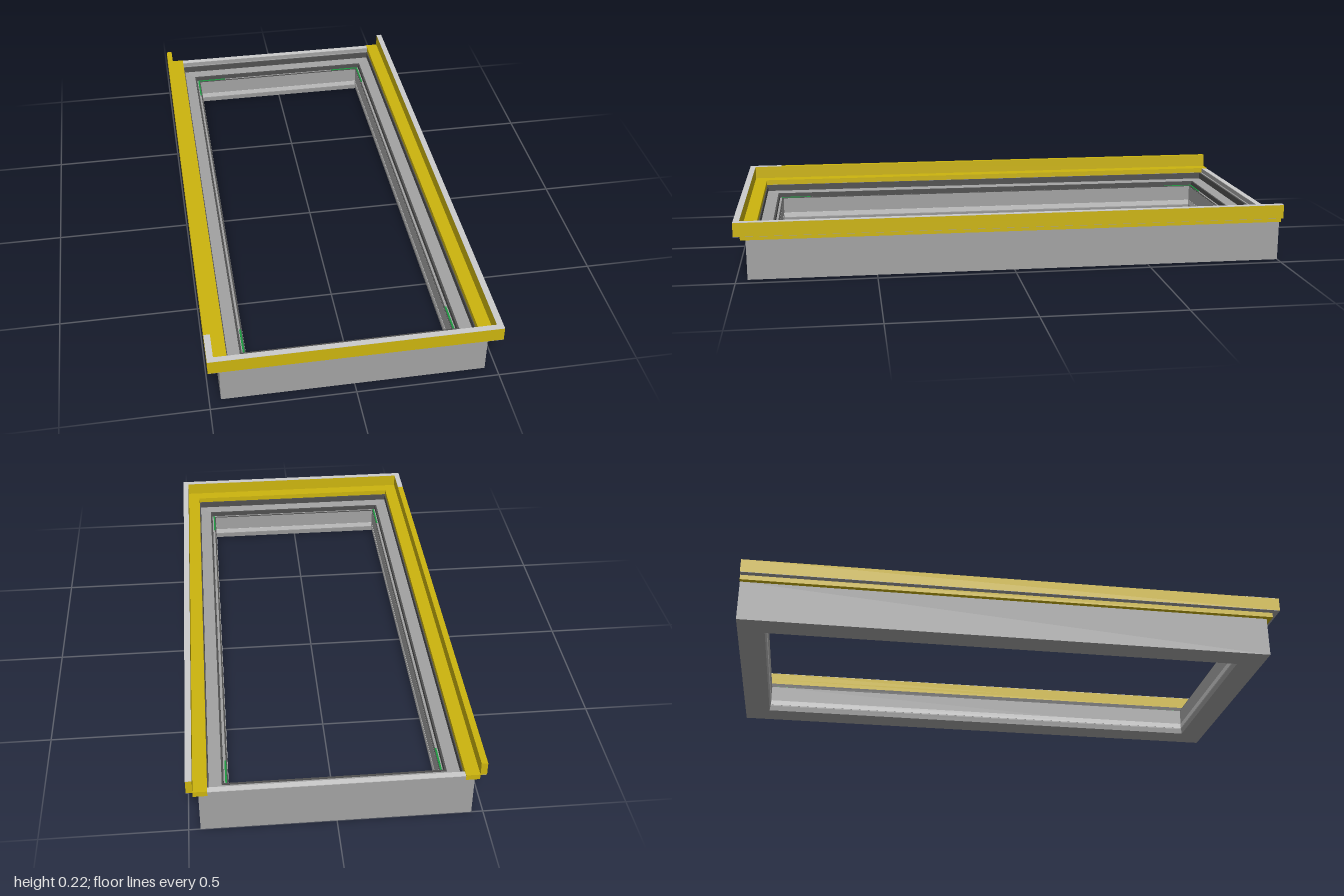
import * as THREE from 'three';

const HALF_W = 0.46, HALF_D = 0.98, MID_Z = -0.02;

const mat = (hex) => new THREE.MeshStandardMaterial({ color: hex });
const lightGrey = mat(0xcccccc), grey = mat(0xa2a2a2), dark = mat(0x505050);
const yellow = mat(0xccb40e), green = mat(0x1c9a40);

// Path corners: sx, sz are the signs of the corner; a fixed z makes a square-cut end.
const BL = { sx: -1, sz: -1 }, FL = { sx: -1, sz: 1 }, FR = { sx: 1, sz: 1 }, BR = { sx: 1, sz: -1 };
const cut = (sx, z) => ({ sx, z });

// Sweep a counterclockwise profile of [inward offset, y] along mitred corners.
function sweep(name, material, profile, path, closed) {
  const pos = [];
  const point = (c, [d, y]) => [c.sx * (HALF_W - d), y, c.z ?? MID_Z + c.sz * (HALF_D - d)];
  const tri = (a, b, c) => pos.push(...a, ...b, ...c);
  const n = profile.length, segs = closed ? path.length : path.length - 1;
  for (let i = 0; i < segs; i++) {
    const s = path[i], e = path[(i + 1) % path.length];
    for (let j = 0; j < n; j++) {
      const p = profile[j], q = profile[(j + 1) % n];
      tri(point(s, p), point(s, q), point(e, q));
      tri(point(s, p), point(e, q), point(e, p));
    }
  }
  if (!closed) {
    const faces = THREE.ShapeUtils.triangulateShape(profile.map((p) => new THREE.Vector2(...p)), []);
    const s = path[0], e = path[path.length - 1];
    for (const [a, b, c] of faces) {
      tri(point(s, profile[a]), point(s, profile[c]), point(s, profile[b]));
      tri(point(e, profile[a]), point(e, profile[b]), point(e, profile[c]));
    }
  }
  const geo = new THREE.BufferGeometry();
  geo.setAttribute('position', new THREE.Float32BufferAttribute(pos, 3));
  geo.computeVertexNormals();
  const mesh = new THREE.Mesh(geo, material);
  mesh.name = name;
  return mesh;
}

// Rectangular profile
const rect = (d0, d1, y0, y1) => [[d0, y0], [d1, y0], [d1, y1], [d0, y1]];

function box(name, material, w, h, d, x, y, z) {
  const mesh = new THREE.Mesh(new THREE.BoxGeometry(w, h, d), material);
  mesh.name = name;
  mesh.position.set(x, y, z);
  return mesh;
}

export function createModel() {
  const group = new THREE.Group();
  group.name = 'windowFrame';
  const ring = [BL, FL, FR, BR];

  // Stepped main frame
  group.add(sweep('mainFrame', grey, [
    [0, 0], [0.097, 0], [0.1, 0.02], [0.1, 0.105], [0.082, 0.105],
    [0.082, 0.12], [0.028, 0.125], [0.028, 0.15], [0, 0.15],
  ], ring, true));

  // Dark gaskets along the steps and a pale strip around the opening
  group.add(sweep('outerGasket', dark, rect(0.027, 0.034, 0.12, 0.149), ring, true));
  group.add(sweep('middleGasket', dark, rect(0.078, 0.085, 0.104, 0.123), ring, true));
  group.add(sweep('innerGasket', dark, rect(0.094, 0.0995, 0.1, 0.107), ring, true));
  group.add(sweep('openingStrip', lightGrey, rect(0.096, 0.101, 0.024, 0.044), ring, true));

  // Raised top of the back wall, between the ends of the cover
  group.add(box('backWallTop', grey, 0.86, 0.016, 0.022, 0, 0.158, -0.989));
  group.add(box('backWallEdge', lightGrey, 0.86, 0.002, 0.022, 0, 0.167, -0.989));

  // Cover on three sides: flat tray with an upright lip
  const cover = [cut(-1, -1), FL, FR, cut(1, -1)];
  group.add(sweep('coverTray', yellow, rect(-0.018, 0.03, 0.15, 0.17), cover));
  group.add(sweep('coverLip', yellow, rect(-0.04, -0.018, 0.169, 0.219), cover));
  group.add(sweep('lipUnderside', grey, rect(-0.04, -0.018, 0.168, 0.169), cover));

  // Grey edge strip on top of the lip
  group.add(sweep('lipEdge', lightGrey, rect(-0.04, -0.018, 0.219, 0.22),
    [cut(-1, 0.87), FL, FR, cut(1, -1)]));

  // Small sealing strips at the inner corners
  for (const sx of [-1, 1]) for (const sz of [-1, 1]) {
    const z = MID_Z + sz * (HALF_D - 0.092);
    group.add(box('cornerSealSide', green, 0.006, 0.006, 0.12, sx * 0.367, 0.106, z - sz * 0.06));
    if (sz < 0) group.add(box('cornerSealBack', green, 0.12, 0.006, 0.006, sx * 0.308, 0.106, z));
  }
  return group;
}
